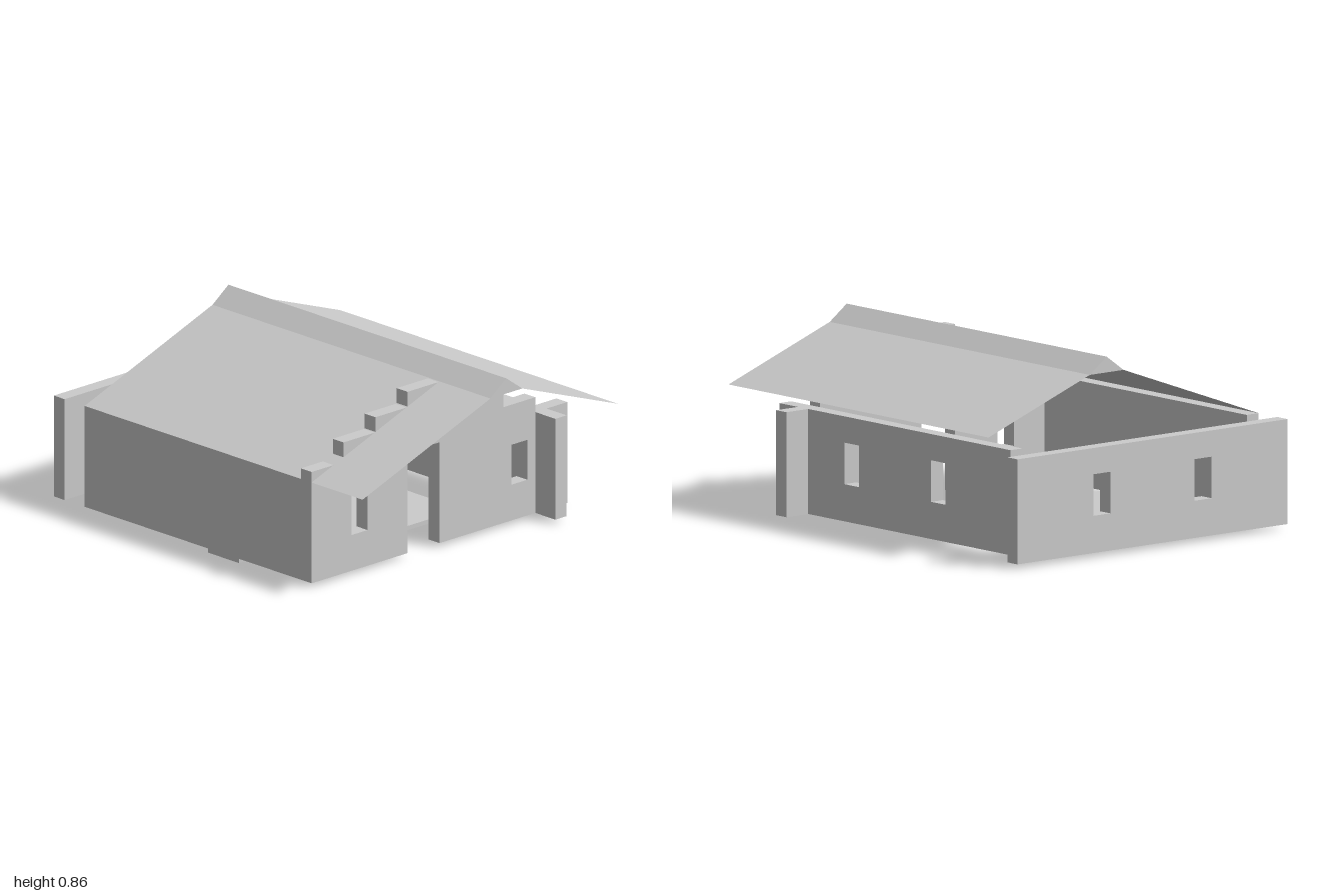
import * as THREE from 'three';

const material = new THREE.MeshStandardMaterial({ color: 0xcccccc, flatShading: true, side: THREE.DoubleSide });
const THICK = 0.07; // wall thickness
const BASE = 0.02; // underside of the walls
const EAVES = 0.5; // top of the plain walls

function extruded(name, points, depth, holes = []) {
  const shape = new THREE.Shape(points.map(([x, y]) => new THREE.Vector2(x, y)));
  shape.holes = holes.map((h) => new THREE.Path(h.map(([x, y]) => new THREE.Vector2(x, y))));
  const mesh = new THREE.Mesh(new THREE.ExtrudeGeometry(shape, { depth, bevelEnabled: false }), material);
  mesh.name = name;
  return mesh;
}

const rect = (x0, x1, y0, y1) => [[x0, y0], [x1, y0], [x1, y1], [x0, y1]];

// Window opening centred at the given position along a wall
const windowHole = (u) => rect(u - 0.05, u + 0.05, 0.19, 0.38).reverse();

// Wall running along z, its outer face looking to +x at x1
function sideWall(name, x1, z0, z1, windows) {
  const wall = extruded(name, rect(-z1, -z0, BASE, EAVES), THICK, windows.map((z) => windowHole(-z)));
  wall.rotation.y = Math.PI / 2;
  wall.position.x = x1 - THICK;
  return wall;
}

// One flat roof sheet between two points of the roof section
function roofSheet(name, [x0, y0], [x1, y1], length) {
  const sheet = new THREE.Mesh(new THREE.PlaneGeometry(Math.hypot(x1 - x0, y1 - y0), length), material);
  sheet.geometry.rotateX(-Math.PI / 2).rotateZ(Math.atan2(y1 - y0, x1 - x0));
  sheet.position.set((x0 + x1) / 2, (y0 + y1) / 2, 0.1);
  sheet.name = name;
  return sheet;
}

export function createModel() {
  const model = new THREE.Group();
  model.name = 'house';

  // Floor slab with a notched back corner and a side tab
  const floor = extruded('floor', [
    [-0.6, -0.4], [0.4, -0.4], [0.4, 0.8], [-0.2, 0.8], [-0.2, 0.6],
    [-0.6, 0.6], [-0.6, 0], [-0.8, 0], [-0.8, -0.2], [-0.6, -0.2],
  ], BASE);
  floor.rotation.x = -Math.PI / 2;
  model.add(floor);

  // Stepped gable wall with a doorway and two windows
  const outline = [[-0.8, BASE], [-0.2, BASE], [-0.2, EAVES], [0, EAVES], [0, BASE], [0.8, BASE]];
  const steps = [0.5, 0.571, 0.643, 0.715, 0.788, 0.715, 0.643, 0.55];
  steps.forEach((top, i) => {
    const x = 0.8 - i * 0.2;
    outline.push([x, top], [x - 0.2, top]);
  });
  const front = extruded('frontWall', outline, THICK, [windowHole(-0.5), windowHole(0.5)]);
  front.position.z = 0.6;
  model.add(front);

  // Detached back wall
  const back = extruded('backWall', rect(-0.8, 0.8, BASE, EAVES), THICK, [windowHole(-0.3), windowHole(0.3)]);
  back.position.z = -1;
  model.add(back);

  // Side walls: one crosses the front wall, the other ends in it
  model.add(sideWall('leftWall', 0.67, -0.8, 0.8, [-0.3, 0.3]));
  model.add(sideWall('rightWall', -0.73, -0.8, 0.67, []));

  // Thin roof slopes and the triangular ridge cap
  model.add(roofSheet('rightRoofSlope', [-0.8, 0.5], [0, 0.79], 1.8));
  model.add(roofSheet('leftRoofSlope', [0.2, 0.79], [0.8, 0.573], 1.8));
  const ridge = extruded('ridge', [[0, 0.79], [0.2, 0.79], [0.1, 0.862]], 1.8);
  ridge.position.z = -0.8;
  model.add(ridge);

  return model;
}
